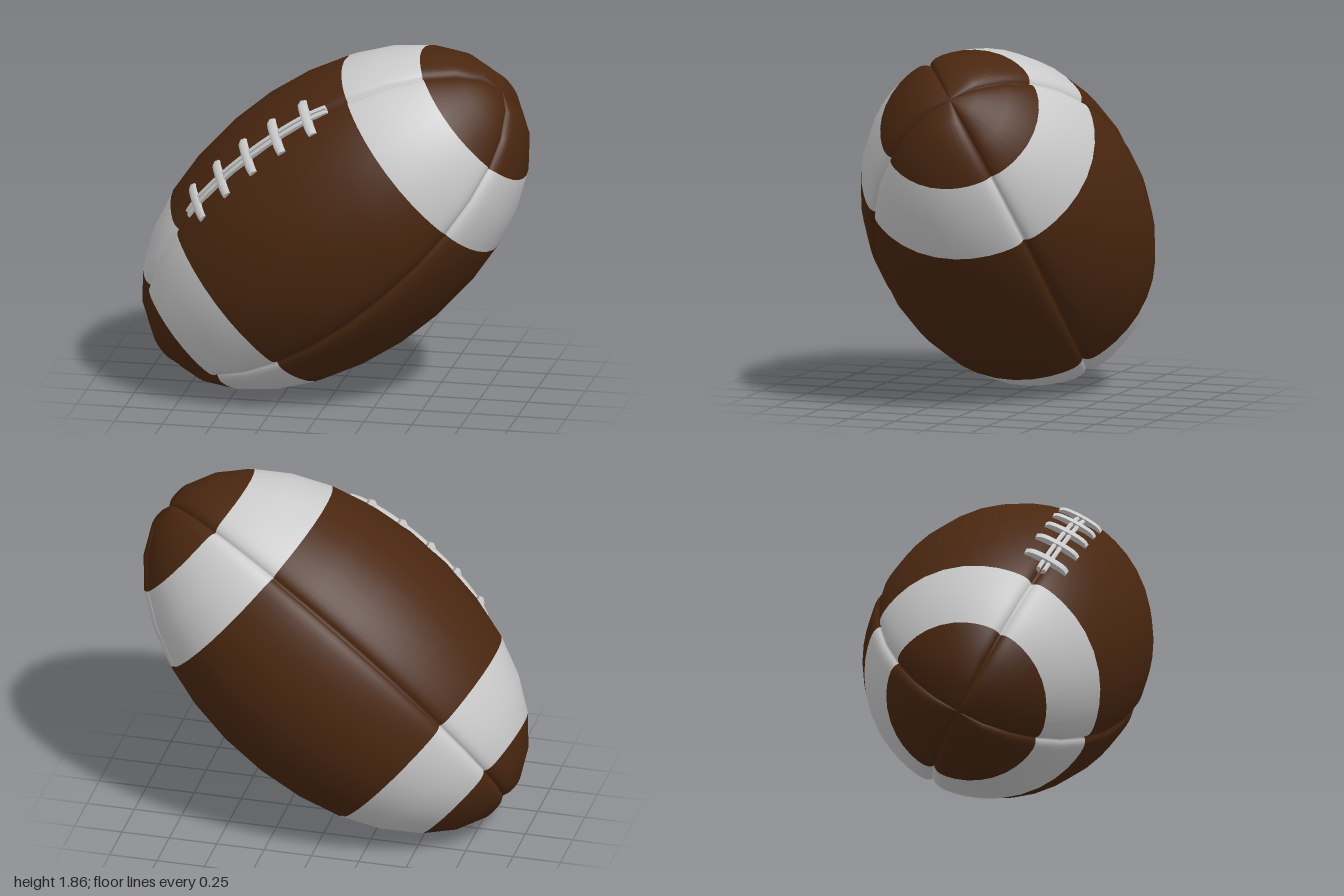
import * as THREE from 'three';

const A = 1.165, B = 0.715;          // half length and radius of the ball
const RINGS = 15;
const LACED_SEAM = THREE.MathUtils.degToRad(53);

const leather = new THREE.MeshStandardMaterial({ color: 0x4a2710 });
const white = new THREE.MeshStandardMaterial({ color: 0xcccccc });

// Point around the long axis (x): phi runs from +z towards +y
const around = (x, r, phi) => [x, r * Math.sin(phi), r * Math.cos(phi)];

// Ball skin: four panels whose edges sink into the seams
function skin() {
  const half = [0, 0.9, 2, 3.5, 5.5, 8, 12, 18, 26, 35];
  const steps = [...half, 45, ...half.slice(1).reverse().map(d => 90 - d)];
  const angles = [];
  for (let p = 0; p < 4; p++) for (const d of steps) angles.push([p * 90 + d, Math.min(d, 90 - d)]);
  const pos = [], n = angles.length;
  for (let i = 0; i <= RINGS; i++) {
    const th = Math.PI * i / RINGS;
    const c = -Math.cos(th), s = Math.sin(th);
    const len = Math.hypot(c / A, s / B);
    for (const [deg, off] of angles) {
      const gap = B * s * THREE.MathUtils.degToRad(off);
      const depth = 0.03 * Math.exp(-gap / 0.022);
      const r = Math.max(0, B * s - depth * s / B / len);
      pos.push(...around(A * c - depth * c / A / len, r, LACED_SEAM + THREE.MathUtils.degToRad(deg)));
    }
  }
  const rows = (i0, i1) => {
    const idx = [];
    for (let i = i0; i < i1; i++) for (let j = 0; j < n; j++) {
      const k = (j + 1) % n;
      const a = i * n + j, b = (i + 1) * n + j, c = (i + 1) * n + k, d = i * n + k;
      if (i < RINGS - 1) idx.push(a, b, c);
      else idx.push(a, b, d);
      if (i > 0 && i < RINGS - 1) idx.push(a, c, d);
    }
    return idx;
  };
  const whole = new THREE.BufferGeometry();
  whole.setAttribute('position', new THREE.Float32BufferAttribute(pos, 3));
  whole.setIndex(rows(0, RINGS));
  whole.computeVertexNormals();
  // Bands share the smooth normals of the whole skin
  return (i0, i1) => {
    const g = whole.clone();
    g.setIndex(rows(i0, i1));
    return g;
  };
}

// Box bent onto the ball: length along the axis, thickness outwards, width around
function lace(length, thick, width, x0, side, lift) {
  const g = new THREE.BoxGeometry(length, thick, width, length > width ? 20 : 2, 2, length > width ? 2 : 12);
  const p = g.attributes.position;
  for (let i = 0; i < p.count; i++) {
    const u = p.getX(i) / (length / 2), w = p.getZ(i) / (width / 2);
    const x = x0 + p.getX(i);
    const base = B * Math.sqrt(1 - (x / A) ** 2);
    // Rounded top edges, and ends that dip into the leather
    const along = length > width ? u : w, across = length > width ? w : u;
    const round = p.getY(i) > 0 ? -0.3 * thick * across * across : 0;
    const h = lift + p.getY(i) + round - 0.012 * along ** 8;
    p.setXYZ(i, ...around(x, base + h, LACED_SEAM + (side - p.getZ(i)) / base));
  }
  g.computeVertexNormals();
  return g;
}

export function createModel() {
  const model = new THREE.Group();
  model.name = 'ball';
  const body = new THREE.Group();
  body.name = 'tiltedBall';
  body.position.y = 0.92;
  body.rotation.z = THREE.MathUtils.degToRad(40);
  model.add(body);

  const add = (name, geometry, material) => {
    const m = new THREE.Mesh(geometry, material);
    m.name = name;
    body.add(m);
  };

  const band = skin();
  add('lowerTip', band(0, 3), leather);
  add('lowerStripe', band(3, 5), white);
  add('middlePanels', band(5, 10), leather);
  add('upperStripe', band(10, 12), white);
  add('upperTip', band(12, 15), leather);

  // Two long strands beside the seam, five laces across them
  for (const side of [-1, 1]) add('laceStrand', lace(0.94, 0.03, 0.022, 0, side * 0.016, 0.003), white);
  for (let i = -2; i <= 2; i++) add('crossLace', lace(0.042, 0.036, 0.24, i * 0.188 - 0.01, 0, 0.012), white);

  return model;
}
